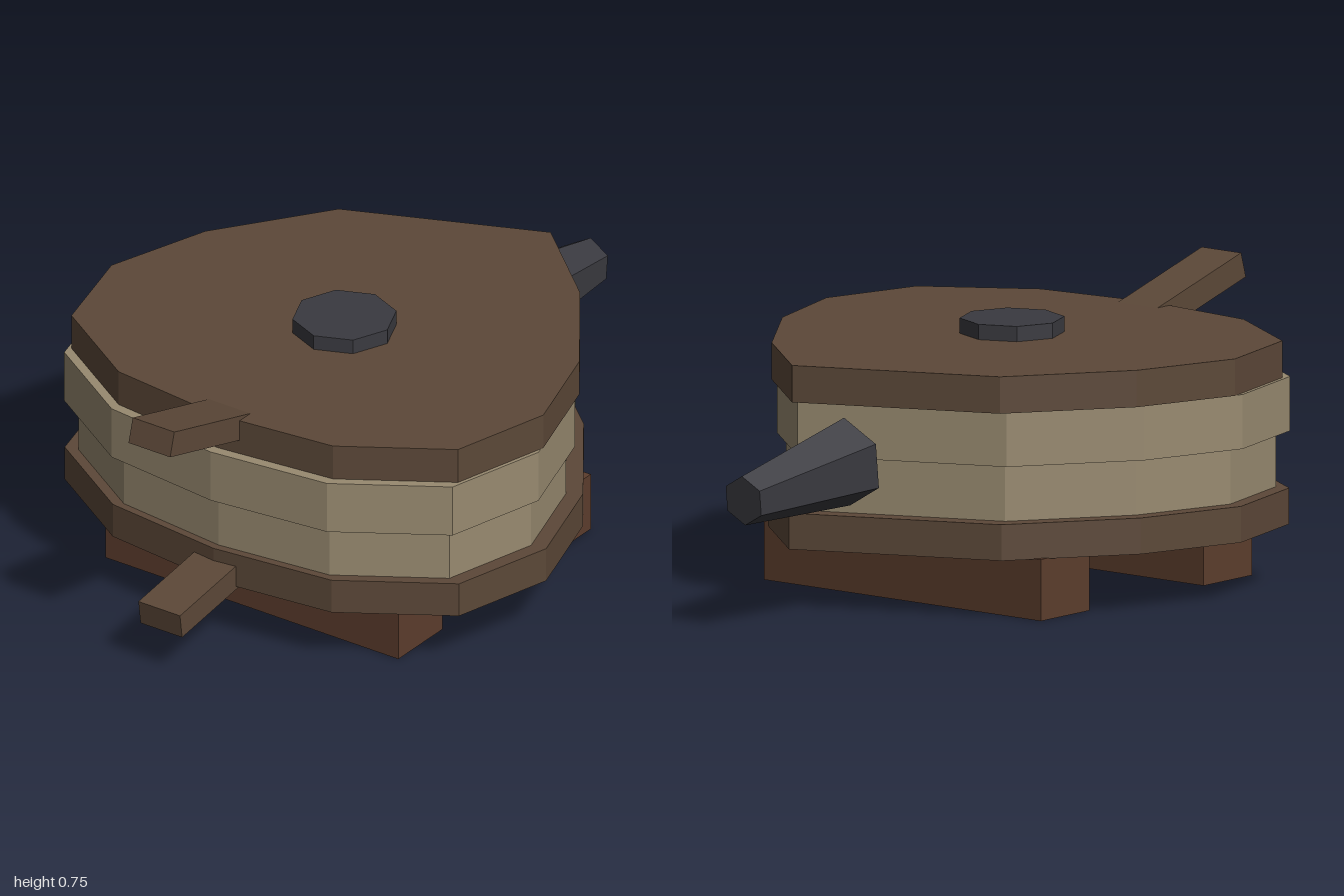
import * as THREE from 'three';

const material = (color) => new THREE.MeshStandardMaterial({ color, flatShading: true });

export function createModel() {
  const model = new THREE.Group();
  const wood = material(0x5c4838);
  const leather = material(0x988a70);
  const footWood = material(0x5c3d2d);
  const iron = material(0x3a3a40);

  const add = (name, geometry, mat, x, y, z, tilt = 0) => {
    const mesh = new THREE.Mesh(geometry, mat);
    mesh.name = name;
    mesh.position.set(x, y, z);
    mesh.rotation.x = tilt;
    model.add(mesh);
  };

  // Pear-shaped outline (x, z): mirrored sides, with one off-centre tip at the back
  const side = [[0.4, -0.41], [0.62, -0.1], [0.715, 0.2], [0.64, 0.49], [0.355, 0.67]];
  const mirrored = side.map(([x, z]) => [-x, z]).reverse();
  const outline = [[0.14, -0.637], ...side, [0, 0.71], ...mirrored];

  const layer = (name, mat, scale, shift, bottom, top) => {
    const shape = new THREE.Shape(outline.map(([x, z]) => new THREE.Vector2(x * scale, -z * scale)));
    const geometry = new THREE.ExtrudeGeometry(shape, { depth: top - bottom, bevelEnabled: false });
    geometry.rotateX(-Math.PI / 2);
    add(name, geometry, mat, 0, bottom, shift);
  };

  // Boards with two leather folds between them
  layer('bottomBoard', wood, 1, 0, 0.163, 0.26);
  layer('lowerLeatherFold', leather, 0.94, 0.02, 0.26, 0.41);
  layer('upperLeatherFold', leather, 0.985, 0.023, 0.41, 0.556);
  layer('topBoard', wood, 0.98, -0.003, 0.556, 0.655);

  // Cross beams underneath
  add('frontFoot', new THREE.BoxGeometry(0.95, 0.165, 0.2), footWood, 0, 0.0825, 0.435);
  add('backFoot', new THREE.BoxGeometry(0.95, 0.165, 0.2), footWood, 0, 0.0825, -0.237);

  // Handles splayed apart at the front
  add('topHandle', new THREE.BoxGeometry(0.135, 0.07, 0.365), wood, 0, 0.67, 0.815, -0.28);
  add('bottomHandle', new THREE.BoxGeometry(0.135, 0.07, 0.35), wood, 0, 0.178, 0.777, 0.14);

  // Round valve cap on top
  add('valveCap', new THREE.CylinderGeometry(0.139, 0.139, 0.06, 8), iron, 0, 0.666, 0.116);

  // Six-sided tapered nozzle at the back, dipping slightly
  const nozzle = new THREE.CylinderGeometry(0.067, 0.12, 0.43, 6);
  nozzle.rotateX(-Math.PI / 2);
  add('nozzle', nozzle, iron, 0, 0.382, -0.779, -0.105);

  return model;
}
